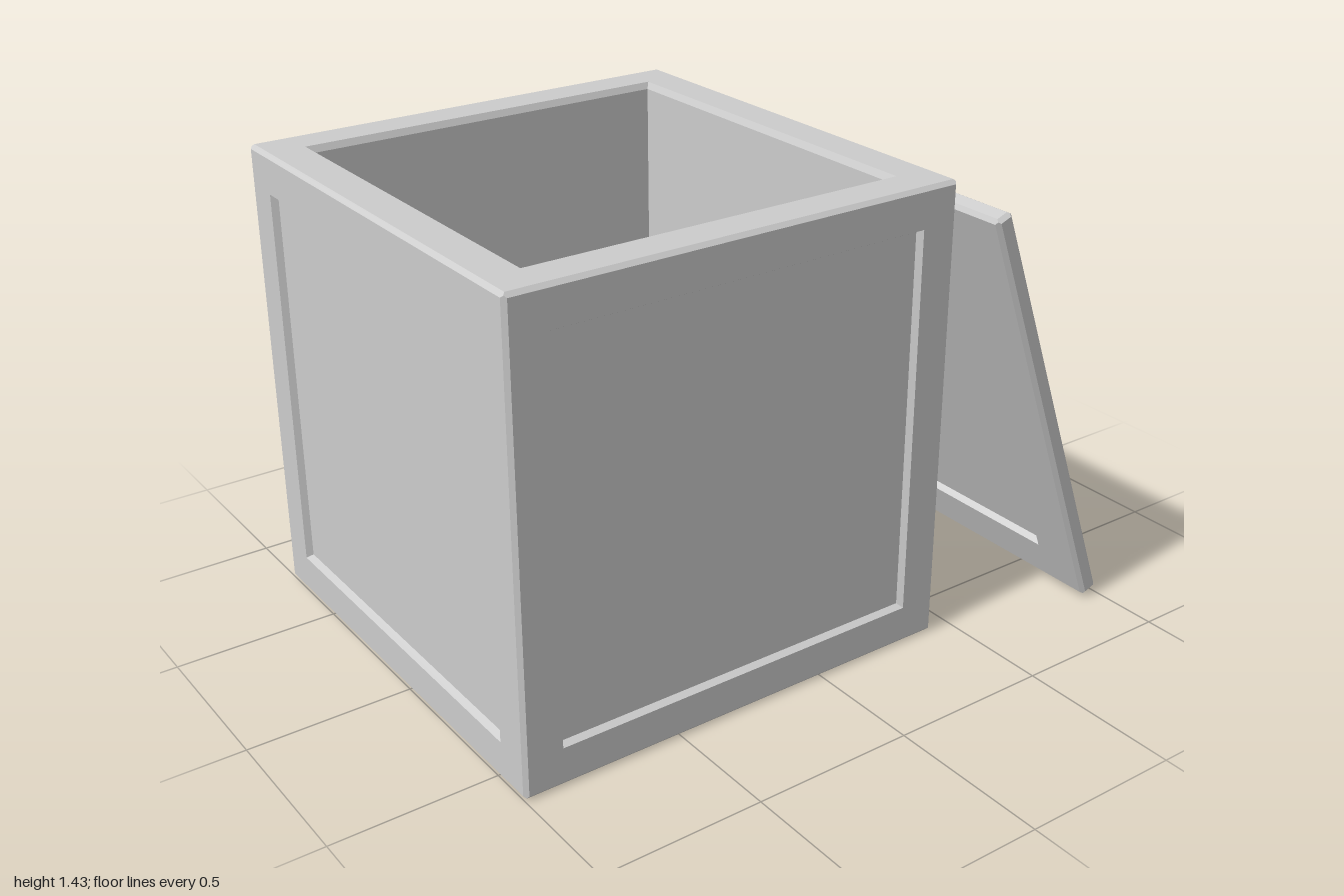
import * as THREE from 'three';

const BEVEL = 0.012, STEP = 0.01, RECESS = 0.02;

// One side of a slab: nested rectangles [half u, half v, height], joined in rings and capped.
function faceGeometry(axis, sign, loops) {
  let u = (axis + 1) % 3, v = (axis + 2) % 3;
  const rings = loops.map(([hu, hv, h]) =>
    [[-1, -1], [1, -1], [1, 1], [-1, 1]].map(([a, b]) => {
      const p = [0, 0, 0];
      p[axis] = sign * h;
      p[u] = a * hu;
      p[v] = b * hv;
      return p;
    }));
  const out = [];
  const quad = (a, b, c, d) => {
    const corners = sign > 0 ? [a, b, c, a, c, d] : [a, c, b, a, d, c];
    corners.forEach((p) => out.push(...p));
  };
  for (let i = 0; i < rings.length - 1; i++) {
    for (let k = 0; k < 4; k++) {
      const n = (k + 1) % 4;
      quad(rings[i][k], rings[i][n], rings[i + 1][n], rings[i + 1][k]);
    }
  }
  quad(...rings[rings.length - 1]);
  const g = new THREE.BufferGeometry();
  g.setAttribute('position', new THREE.Float32BufferAttribute(out, 3));
  g.computeVertexNormals();
  return g;
}

// Rectangles for a side: shared chamfer, flat frame, then a sunken panel if margins are given.
function sideLoops(half, axis, margin, depths = []) {
  const hu = half[(axis + 1) % 3], hv = half[(axis + 2) % 3], h = half[axis];
  const c = BEVEL / 2;
  const loops = [[hu - c, hv - c, h - c], [hu - BEVEL, hv - BEVEL, h]];
  if (margin) {
    const mu = hu - margin[(axis + 1) % 3], mv = hv - margin[(axis + 2) % 3];
    loops.push([mu, mv, h]);
    depths.forEach((d) => loops.push([mu - STEP, mv - STEP, h - d]));
  }
  return loops;
}

export function createModel() {
  const model = new THREE.Group();
  const grey = new THREE.MeshStandardMaterial({ color: 0xcccccc });
  grey.name = 'plain grey';

  const addSide = (group, name, axis, sign, loops) => {
    const mesh = new THREE.Mesh(faceGeometry(axis, sign, loops), grey);
    mesh.name = name;
    group.add(mesh);
  };
  const names = [['rightSide', 'leftSide'], ['bottomSide', 'topSide'], ['backSide', 'frontSide']];

  // Open crate: five sunken panels, and a top that drops to the inner floor
  const crate = new THREE.Group();
  crate.name = 'crate';
  const box = [0.715, 0.715, 0.715];
  for (let axis = 0; axis < 3; axis++) {
    for (const sign of [-1, 1]) {
      const open = axis === 1 && sign === 1;
      const loops = sideLoops(box, axis, [0.12, 0.12, 0.12], open ? [RECESS, 1.31] : [RECESS]);
      addSide(crate, names[axis][(sign + 1) / 2], axis, sign, loops);
    }
  }
  crate.position.set(-0.285, 0.718, -0.073);
  model.add(crate);

  // Lid leaning on the crate, panelled on both broad faces
  const lid = new THREE.Group();
  lid.name = 'lid';
  const slab = [0.03, 0.715, 0.715];
  for (let axis = 0; axis < 3; axis++) {
    for (const sign of [-1, 1]) {
      const margin = axis === 0 ? [0, 0.135, 0.16] : null;
      addSide(lid, 'lid' + names[axis][(sign + 1) / 2], axis, sign, sideLoops(slab, axis, margin, [RECESS]));
    }
  }
  lid.position.set(0.719, 0.689, 0.07);
  lid.rotation.z = THREE.MathUtils.degToRad(20.5);
  model.add(lid);

  return model;
}
